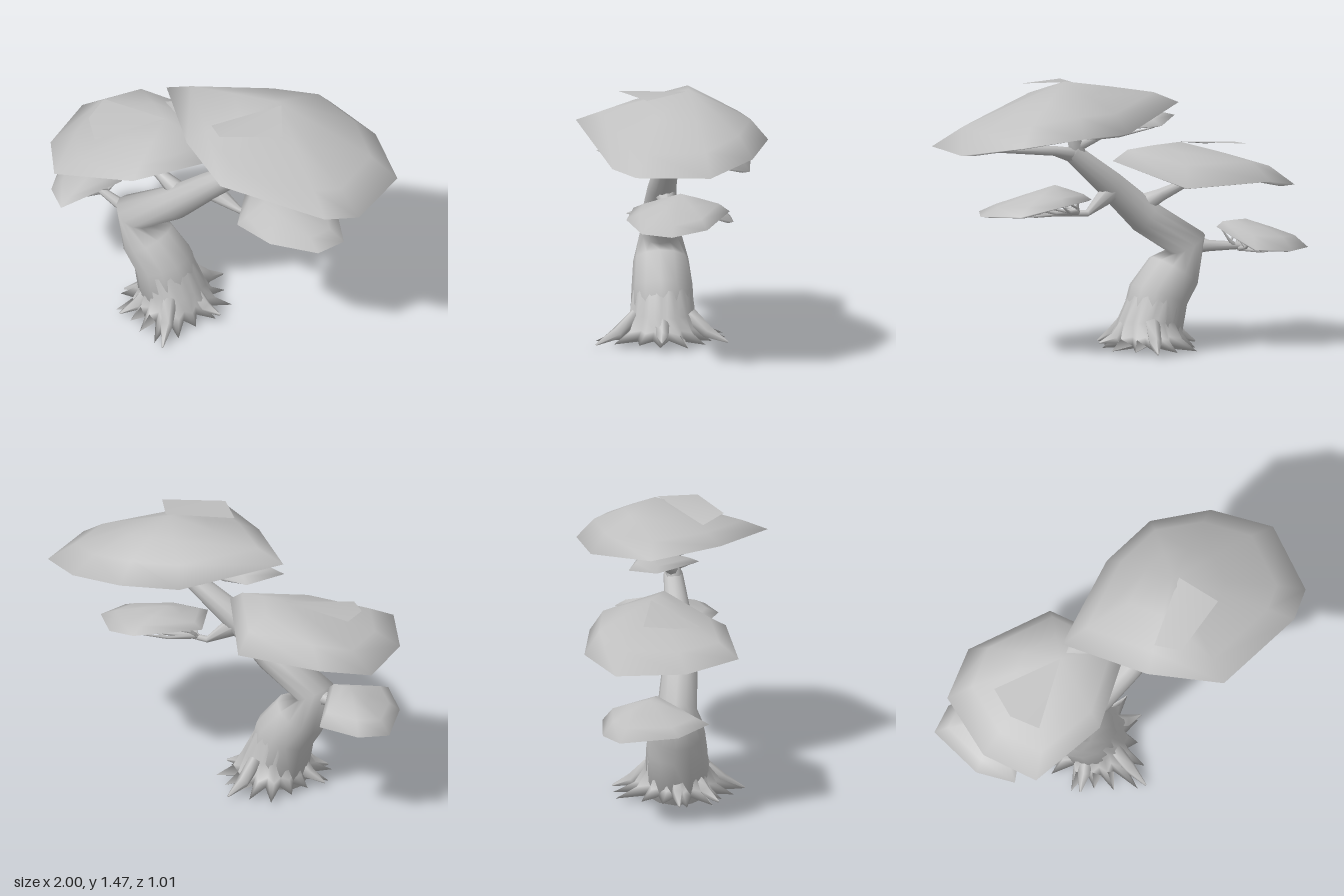
import * as THREE from 'three';
import { mergeVertices, mergeGeometries } from 'three/addons/utils/BufferGeometryUtils.js';

const V = (a) => new THREE.Vector3(a[0], a[1], a[2]);

// Skin closed rows of points into one smooth surface
function loft(rows) {
  const n = rows[0].length, pos = [], idx = [];
  rows.forEach((row) => row.forEach((p) => pos.push(p.x, p.y, p.z)));
  for (let r = 0; r < rows.length - 1; r++) {
    for (let i = 0; i < n; i++) {
      const a = r * n + i, b = r * n + (i + 1) % n;
      idx.push(a, b, a + n, b, b + n, a + n);
    }
  }
  let g = new THREE.BufferGeometry();
  g.setAttribute('position', new THREE.Float32BufferAttribute(pos, 3));
  g.setIndex(idx);
  g = mergeVertices(g);
  g.computeVertexNormals();
  return g;
}

// Tapering limb through [x, y, z, radius] points, closed at both ends
function limb(path, sides = 6) {
  const pts = path.map(V);
  const dir = pts[pts.length - 1].clone().sub(pts[0]).normalize();
  const ref = Math.abs(dir.z) < 0.7 ? new THREE.Vector3(0, 0, 1) : new THREE.Vector3(1, 0, 0);
  const rows = pts.map((p, i) => {
    const t = pts[Math.min(i + 1, pts.length - 1)].clone().sub(pts[Math.max(i - 1, 0)]).normalize();
    const u = new THREE.Vector3().crossVectors(ref, t).normalize();
    const w = new THREE.Vector3().crossVectors(t, u);
    return Array.from({ length: sides }, (_, k) => {
      const a = (k / sides) * Math.PI * 2;
      return p.clone().addScaledVector(u, Math.cos(a) * path[i][3]).addScaledVector(w, Math.sin(a) * path[i][3]);
    });
  });
  const cap = (p) => Array.from({ length: sides }, () => p.clone());
  return loft([cap(pts[0]), ...rows, cap(pts[pts.length - 1])]);
}

// Hollow foliage pad: peak, shoulder bulging more to the back and sides, rim and inward lip
function padShell(peak, rim, bulge) {
  const c = V(peak);
  const ring = (t, amount) => rim.map((p) => {
    const v = c.clone().lerp(V(p), t);
    const d = V(p).sub(c);
    v.y += amount * bulge * (0.6 - 0.4 * d.z / Math.hypot(d.x, d.z));
    return v;
  });
  const lip = rim.map((p) => V(p).lerp(new THREE.Vector3(c.x, p[1], c.z), 0.12).setY(p[1] - 0.008));
  return loft([ring(0, 0), ring(0.4, 0.6), ring(0.78, 1), ring(1, 0), lip]);
}

// Twigs fanning from a fork to the inside of a pad, each with a side shoot
function twigFan(fork, peak, rim, r) {
  const f = V(fork), parts = [];
  rim.forEach((p, i) => {
    const end = V(peak).lerp(V(p), 0.62 + 0.2 * (i % 2));
    end.y -= 0.02;
    const mid = f.clone().lerp(end, 0.5);
    mid.y -= 0.015;
    parts.push(limb([[...f, r], [...mid, r * 0.6], [...end, r * 0.2]], 5));
    const tip = V(peak).lerp(V(rim[(i + 1) % rim.length]), 0.55);
    tip.y -= 0.015;
    parts.push(limb([[...mid, r * 0.5], [...tip, r * 0.15]], 4));
  });
  return mergeGeometries(parts);
}

// Raised overlapping leaf edge
function flap(points) {
  const g = new THREE.BufferGeometry().setFromPoints(points.map(V));
  g.setIndex([0, 2, 1, 0, 3, 2]);
  g.computeVertexNormals();
  return g;
}

export function createModel() {
  const group = new THREE.Group();
  const grey = new THREE.MeshStandardMaterial({ color: 0xc0c0c0, side: THREE.DoubleSide });
  grey.name = 'plain grey';
  const add = (name, geometry) => {
    const m = new THREE.Mesh(geometry, grey);
    m.name = name;
    group.add(m);
  };
  const addPad = (name, peak, fork, twigRadius, bulge, rim) => {
    add(name, padShell(peak, rim, bulge));
    add(name + 'Twigs', twigFan(fork, peak, rim, twigRadius));
  };

  // Crooked leaning trunk
  add('trunk', limb([
    [-0.19, 0.03, 0.07, 0.17], [-0.25, 0.28, 0.07, 0.16], [-0.34, 0.4, 0.08, 0.145],
    [-0.42, 0.54, 0.085, 0.105], [-0.17, 0.7, 0.08, 0.092], [0.02, 0.87, 0.06, 0.075], [0.27, 1.07, 0.01, 0.05],
  ], 12));

  // Flared root skirt with uneven pointed toes, closed below
  const steps = 30;
  const skirtRow = (y, spread) => Array.from({ length: steps }, (_, i) => {
    const a = (i / steps) * Math.PI * 2, toe = i % 2 === 0;
    const r = 0.15 + spread * (toe ? 0.1 + 0.035 * Math.sin(i * 2.3) : 0.015);
    const cx = -0.19 - 0.06 * Math.max(0, (y - 0.15) / 0.15);
    return new THREE.Vector3(
      cx + Math.cos(a) * r * (1 + spread * 0.04),
      y + (toe ? 0 : spread * 0.02),
      0.068 + Math.sin(a) * r * (1 + spread * 0.28));
  });
  const skirtBase = Array.from({ length: steps }, () => new THREE.Vector3(-0.19, 0.01, 0.06));
  add('rootSkirt', loft([skirtRow(0.3, 0), skirtRow(0.15, 0.15), skirtRow(0.07, 0.45), skirtRow(0.015, 1), skirtBase]));

  // Longer single roots reaching outward
  [[0.09, 0.04, 0.06], [-0.05, 0, 0.41], [-0.1, 0.01, -0.28], [-0.47, 0.015, 0.1], [-0.38, 0.02, 0.3]].forEach(([x, y, z]) => {
    const along = (t, h, r) => [-0.19 + (x + 0.19) * t, h, 0.06 + (z - 0.06) * t, r];
    add('root', limb([along(0.4, 0.15, 0.04), along(0.68, 0.06, 0.035), along(1, y + 0.004, 0.005)], 5));
  });

  // Foliage pads
  addPad('crown', [0.35, 1.46, -0.09], [0.26, 1.18, 0], 0.026, 0.05, [
    [-0.31, 1.31, -0.06], [0.12, 1.21, -0.41], [0.42, 1.21, -0.51], [0.74, 1.17, -0.44],
    [1, 1.12, -0.23], [1, 1.12, 0.16], [0.87, 1.14, 0.29], [0.36, 1.295, 0.5], [0.02, 1.3, 0.28]]);
  addPad('crownLowerPad', [0.02, 1.27, -0.04], [0.2, 1.14, 0], 0.016, 0.02, [
    [-0.3, 1.24, -0.03], [-0.16, 1.21, -0.19], [0.2, 1.2, -0.15], [0.1, 1.19, 0.16]]);
  addPad('leftPad', [-0.32, 1.1, -0.06], [-0.4, 0.87, 0.03], 0.022, 0.07, [
    [-0.91, 0.86, -0.2], [-0.7, 0.91, -0.38], [-0.22, 0.9, -0.39], [0.04, 1.01, 0],
    [-0.28, 0.96, 0.33], [-0.7, 0.905, 0.43], [-0.88, 0.87, 0.17]]);
  addPad('rightPad', [0.39, 0.91, -0.05], [0.24, 0.75, 0], 0.015, 0.02, [
    [0.18, 0.82, -0.05], [0.45, 0.83, -0.31], [0.65, 0.77, -0.2],
    [0.8, 0.76, -0.02], [0.74, 0.765, 0.14], [0.5, 0.79, 0.23], [0.28, 0.81, 0.2]]);
  addPad('lowLeftPad', [-0.7, 0.67, -0.04], [-0.68, 0.51, 0], 0.015, 0.04, [
    [-1, 0.52, -0.17], [-0.87, 0.52, -0.27], [-0.65, 0.54, -0.29],
    [-0.55, 0.63, 0], [-0.75, 0.56, 0.28], [-0.9, 0.525, 0.13]]);

  // Leaf edges lying over the two largest pads
  add('crownFlap', flap([[0.38, 1.455, -0.08], [0.51, 1.43, 0.12], [0.22, 1.42, 0.28], [0.11, 1.385, 0.18]]));
  add('leftPadFlap', flap([[-0.32, 1.1, -0.06], [-0.58, 1.04, 0.22], [-0.69, 1.06, 0.1], [-0.7, 1.07, -0.07]]));

  // Main branches
  const branch = (name, ...path) => add(name, limb(path, 8));
  branch('crownBranch', [0.22, 1.03, 0.02, 0.045], [0.25, 1.12, 0.01, 0.04], [0.27, 1.24, -0.02, 0.022]);
  branch('crownSideBranch', [0.22, 1.04, 0.02, 0.045], [0.38, 1.085, -0.02, 0.026], [0.95, 1.125, -0.03, 0.005]);
  branch('crownLowerBranch', [0.24, 1.1, 0.01, 0.035], [-0.05, 1.22, -0.03, 0.008]);
  branch('leftBranch', [-0.13, 0.75, 0.07, 0.06], [-0.26, 0.81, 0.05, 0.035], [-0.52, 0.93, 0, 0.012]);
  branch('rightBranch', [0.02, 0.85, 0.05, 0.06], [0.18, 0.74, 0.01, 0.018], [0.74, 0.765, -0.02, 0.005]);
  branch('lowLeftBranch', [-0.42, 0.54, 0.08, 0.06], [-0.53, 0.525, 0.05, 0.03], [-0.85, 0.525, -0.06, 0.008]);

  return group;
}
